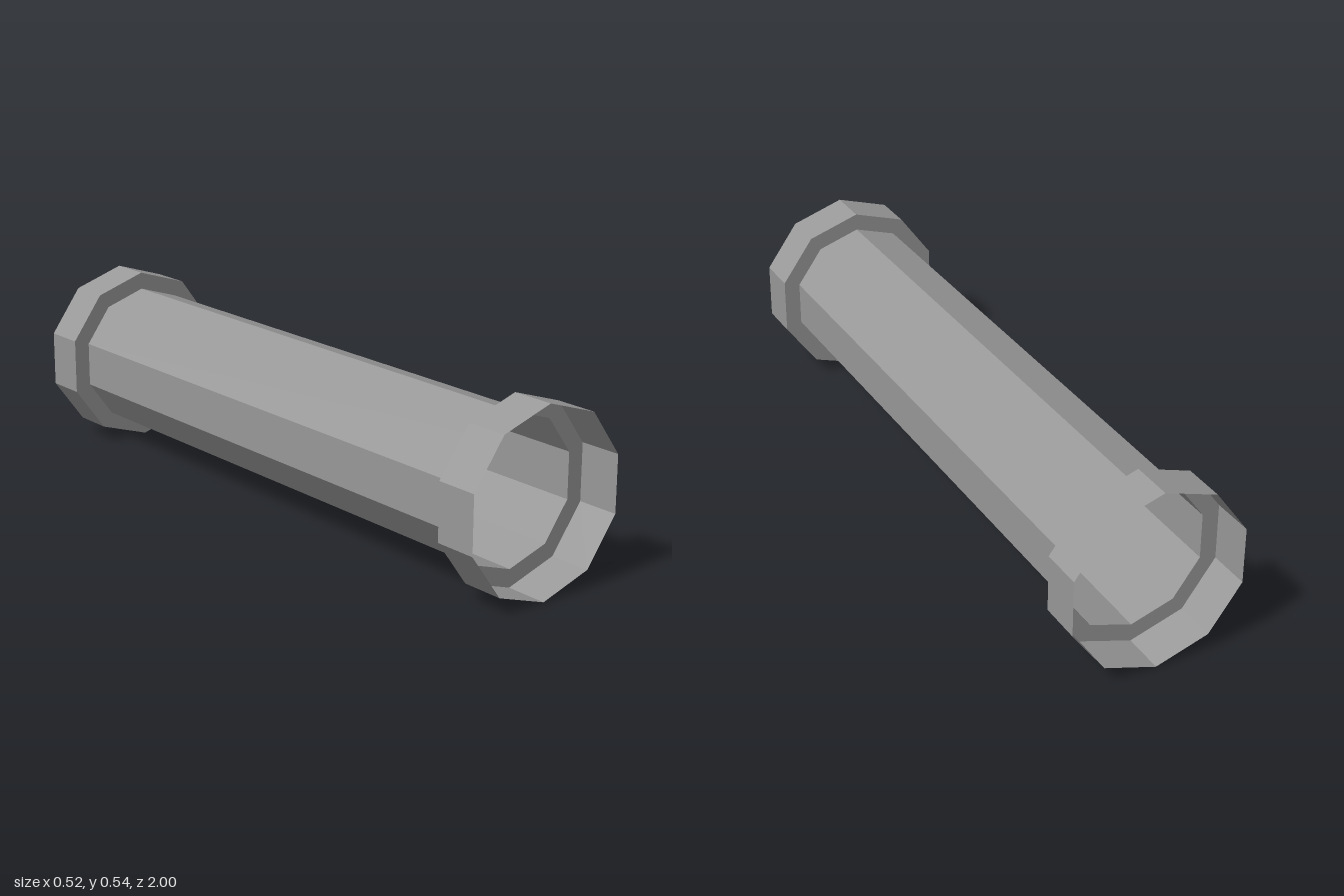
import * as THREE from 'three';

const SIDES = 10, INNER = 0.219, OUTER = 0.272, SHOULDER = 0.87, END = 1;

// Ten-sided open shell turned around the z axis; profile is [radius, z] pairs
function shell(name, profile, material) {
  const points = profile.map(([r, z]) => new THREE.Vector2(r, -z));
  const geometry = new THREE.LatheGeometry(points, SIDES).rotateX(-Math.PI / 2);
  const mesh = new THREE.Mesh(geometry, material);
  mesh.name = name;
  mesh.position.y = OUTER;
  return mesh;
}

export function createModel() {
  const model = new THREE.Group();
  model.name = 'pipe';
  const grey = new THREE.MeshStandardMaterial({ color: 0x999999, flatShading: true, side: THREE.DoubleSide });
  grey.name = 'pipe grey';

  // Straight hollow tube
  model.add(shell('tube', [[INNER, SHOULDER], [INNER, -SHOULDER]], grey));

  // Wider open collar at each end, joined to the tube by a flat shoulder
  for (const [name, s] of [['frontCollar', 1], ['backCollar', -1]]) {
    const profile = [[INNER, s * SHOULDER], [OUTER, s * SHOULDER], [OUTER, s * END]];
    if (s > 0) profile.reverse();
    model.add(shell(name, profile, grey));
  }
  return model;
}
